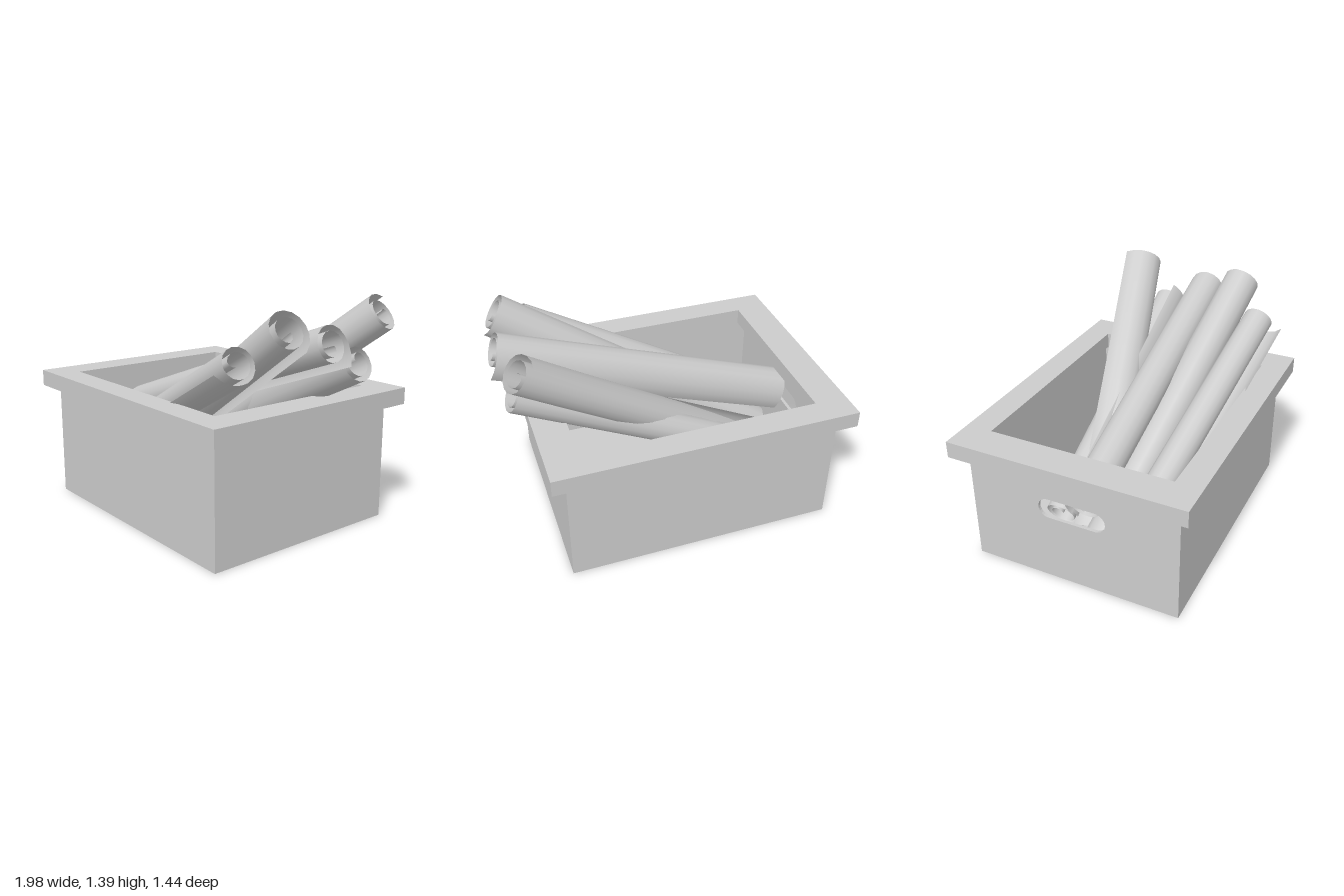
import * as THREE from 'three';
import { ParametricGeometry } from 'three/addons/geometries/ParametricGeometry.js';

const material = new THREE.MeshStandardMaterial({ color: 0xcccccc });
const paper = new THREE.MeshStandardMaterial({ color: 0xcccccc, side: THREE.DoubleSide });

function add(group, name, geometry, mat = material) {
  const mesh = new THREE.Mesh(geometry, mat);
  mesh.name = name;
  group.add(mesh);
  return mesh;
}

function boxBetween(x0, x1, y0, y1, z0, z1) {
  return new THREE.BoxGeometry(x1 - x0, y1 - y0, z1 - z0)
    .translate((x0 + x1) / 2, (y0 + y1) / 2, (z0 + z1) / 2);
}

function rectangle(target, x0, x1, y0, y1) {
  return target.moveTo(x0, y0).lineTo(x1, y0).lineTo(x1, y1).lineTo(x0, y1).closePath();
}

// Sheet wound into a spiral along a gently bent axis; its loose outer edge sits at tailAngle
function rolledSheet({ start, end, radius, tailAngle, tailRadius, sag = 0 }) {
  const a = new THREE.Vector3(...start), b = new THREE.Vector3(...end);
  const mid = a.clone().lerp(b, 0.5);
  mid.y -= sag;
  const axis = new THREE.QuadraticBezierCurve3(a, mid, b);
  const up = new THREE.Vector3(0, 1, 0);
  const turns = 2.1 * Math.PI * 2;
  const tail = THREE.MathUtils.degToRad(80);
  const hook = THREE.MathUtils.degToRad(70);
  const spiralRadius = s => {
    const flare = (tailRadius - radius) * Math.max(0, 1 - s / tail) ** 2;
    const curl = Math.max(0, (s - turns + hook) / hook);
    return THREE.MathUtils.lerp(radius - (radius - 0.055) * s / turns + flare, 0.015, curl);
  };
  return new ParametricGeometry((u, v, target) => {
    const along = axis.getTangent(v);
    const side = up.clone().cross(along).normalize();
    const rise = along.clone().cross(side);
    const s = u * turns, r = spiralRadius(s);
    const angle = THREE.MathUtils.degToRad(tailAngle) + s;
    target.copy(axis.getPoint(v))
      .addScaledVector(side, r * Math.cos(angle))
      .addScaledVector(rise, r * Math.sin(angle));
  }, 32, 8);
}

export function createModel() {
  const model = new THREE.Group();
  model.name = 'crateOfRolledSheets';

  // Thin-walled crate
  const crate = new THREE.Group();
  crate.name = 'crate';
  model.add(crate);
  const x0 = -0.91, x1 = 0.72, zs = 0.645, top = 0.72, t = 0.02;
  add(crate, 'floor', boxBetween(x0, x1, 0, t, -zs, zs));
  add(crate, 'frontWall', boxBetween(x0, x1, t, top, zs - t, zs));
  add(crate, 'backWall', boxBetween(x0, x1, t, top, -zs, -zs + t));
  add(crate, 'leftWall', boxBetween(x1 - t, x1, t, top, -zs + t, zs - t));

  // Right wall with a rounded hand hole
  const wall = rectangle(new THREE.Shape(), -zs + t, zs - t, t, top);
  const hole = new THREE.Path();
  const hr = 0.063, hy = 0.485, hz = 0.145;
  hole.absarc(hz, hy, hr, -Math.PI / 2, Math.PI / 2, false);
  hole.absarc(-hz, hy, hr, Math.PI / 2, Math.PI * 1.5, false);
  wall.holes.push(hole);
  add(crate, 'rightWallWithHandle',
    new THREE.ExtrudeGeometry(wall, { depth: t, bevelEnabled: false, curveSegments: 6 })
      .rotateY(-Math.PI / 2).translate(x0 + t, 0, 0));

  // Broad overhanging rim
  const rim = rectangle(new THREE.Shape(), -1, 0.81, -0.72, 0.72);
  rim.holes.push(rectangle(new THREE.Path(), -0.8, 0.615, -0.56, 0.56));
  add(crate, 'rim',
    new THREE.ExtrudeGeometry(rim, { depth: 0.1, bevelEnabled: false })
      .rotateX(-Math.PI / 2).translate(0, 0.715, 0));

  // Rolled sheets leaning out over the left side
  const rolls = [
    { start: [-0.83, 0.3, 0.28], end: [0.71, 1.09, 0.49], radius: 0.115, tailAngle: 195, tailRadius: 0.155 },
    { start: [-0.74, 0.21, 0.1], end: [0.88, 1.26, 0.31], radius: 0.13, tailAngle: -60, tailRadius: 0.14 },
    { start: [-0.86, 0.53, 0.05], end: [0.935, 1.17, 0.05], radius: 0.12, tailAngle: -50, tailRadius: 0.165 },
    { start: [-0.67, 0.26, -0.21], end: [0.885, 1.04, -0.21], radius: 0.12, tailAngle: 110, tailRadius: 0.165 },
    { start: [-0.64, 0.17, 0.0], end: [0.88, 1.29, -0.4], radius: 0.12, tailAngle: 40, tailRadius: 0.15, sag: 0.02 },
  ];
  rolls.forEach((roll, i) => add(model, `rolledSheet${i + 1}`, rolledSheet(roll), paper));
  return model;
}
